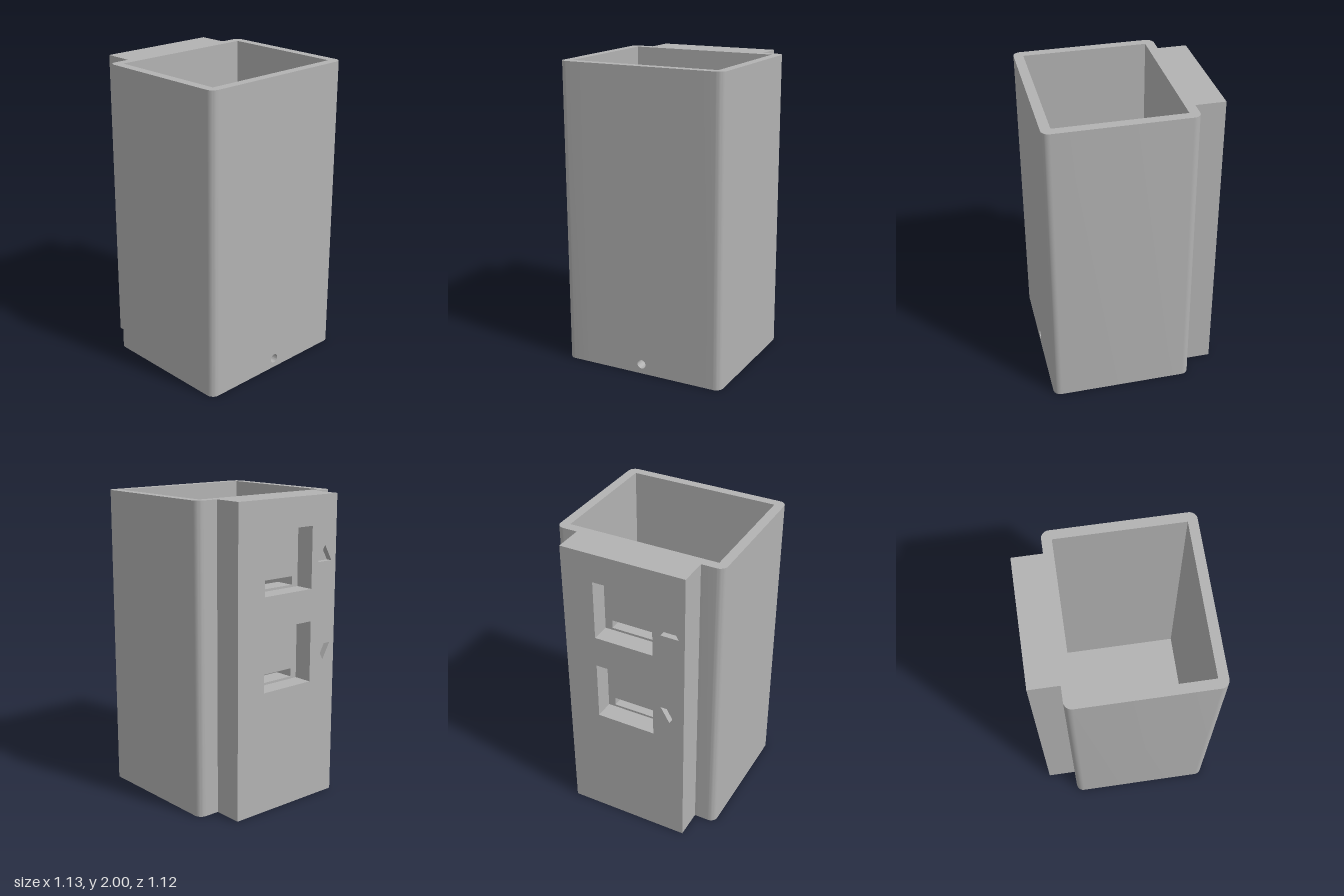
import * as THREE from 'three';
import { toCreasedNormals } from 'three/addons/utils/BufferGeometryUtils.js';

const V = (x, y) => new THREE.Vector2(x, y);

// Points along an arc
function arc(cx, cy, r, from, to, n = 10) {
  return Array.from({ length: n + 1 }, (_, i) => {
    const a = from + (to - from) * i / n;
    return V(cx + r * Math.cos(a), cy + r * Math.sin(a));
  });
}
const rect = (x0, x1, y0, y1) => [V(x0, y0), V(x1, y0), V(x1, y1), V(x0, y1)];
const circle = (cx, cy, r) => arc(cx, cy, r, 0, Math.PI * 2, 32).slice(0, -1);

function extrude(points, holes, depth) {
  const shape = new THREE.Shape(points);
  holes.forEach(h => shape.holes.push(new THREE.Path(h)));
  return new THREE.ExtrudeGeometry(shape, { depth, bevelEnabled: false });
}
// Plan outline (x, -z) raised from y = 0
const extrudeUp = (points, height) => extrude(points, [], height).rotateX(-Math.PI / 2);
// Side outline (-z, y) carried along x
const extrudeX = (points, holes, x0, x1) =>
  extrude(points, holes, x1 - x0).rotateY(Math.PI / 2).translate(x0, 0, 0);

export function createModel() {
  const group = new THREE.Group();
  const grey = new THREE.MeshStandardMaterial({ color: 0xb2b2b2 });
  grey.name = 'grey plastic';
  const add = (name, geometry) => {
    const mesh = new THREE.Mesh(toCreasedNormals(geometry, 0.5), grey);
    mesh.name = name;
    group.add(mesh);
  };

  const xIn0 = -0.3125, xIn1 = 0.503, xOut0 = -0.375, xOut1 = 0.565;
  const zIn = 0.5, zOut = 0.5625, corner = 0.05;
  const floorH = 0.125, holeX = -0.0625, holeR = 0.102, band = 0.05;
  const channelY = 0.065, channelR = 0.03;
  const PI = Math.PI;

  // Front and back walls with rounded corners, and the two floor halves
  for (const [side, m] of [['front', -1], ['back', 1]]) {
    const flip = pts => pts.map(p => V(p.x, p.y * m));
    add(side + 'Wall', extrudeUp(flip([
      V(xIn0, 0.415), V(xOut0, 0.415),
      ...arc(xOut0 + corner, zOut - corner, corner, PI, PI / 2),
      ...arc(xOut1 - corner, zOut - corner, corner, PI / 2, 0),
      V(xOut1, 0.4), V(xIn1, 0.4), V(xIn1, zIn), V(xIn0, zIn),
    ]), 2));
    const a = Math.asin(band / holeR);
    add(side + 'Floor', extrudeUp(flip([
      V(xIn1, band), V(xIn1, zIn), V(xIn0, zIn), V(xIn0, band),
      ...arc(holeX, 0, holeR, PI - a, a, 24),
    ]), floorH));
  }

  // Side wall pierced by the cable channel
  const channel = circle(0, channelY, channelR);
  add('sideWall', extrudeX(rect(-0.4, 0.4, 0, 2), [channel], xIn1, xOut1));

  // Middle floor strips: one end curved to follow the round floor hole
  const strip = [];
  for (let i = 0; i <= 8; i++) strip.push(V(-band + band * i / 4, 0));
  for (let i = 8; i >= 0; i--) strip.push(V(-band + band * i / 4, floorH));
  const channelEnd = -0.25;
  for (const [name, s, end] of [['channelFloor', 1, xIn1], ['channelEndFloor', -1, channelEnd]]) {
    const g = extrudeX(strip, [channel], 0, 1);
    const p = g.attributes.position;
    for (let i = 0; i < p.count; i++) {
      const atHole = (p.getX(i) < 0.5) === (s > 0);
      const z = p.getZ(i);
      p.setX(i, atHole ? holeX + s * Math.sqrt(holeR * holeR - z * z) : end);
    }
    add(name, g);
  }
  add('channelStop', extrudeX(rect(-band, band, 0, floorH), [], xIn0, channelEnd));

  // Button block in three layers: symbols, button pockets, wire slots
  const buttons = [1.61, 1.0];
  const blockFace = rect(-0.415, 0.415, 0, 2);
  const pockets = buttons.map(y => rect(-0.2, 0.2, y - 0.2, y + 0.2));
  const slots = buttons.map(y => rect(-0.15, 0.15, y - 0.185, y - 0.13));
  const arrows = buttons.map((y, i) => {
    const d = i ? -1 : 1;
    return [V(-0.315, y + 0.07 * d), V(-0.376, y - 0.035 * d), V(-0.254, y - 0.035 * d)];
  });
  add('buttonBlockFace', extrudeX(blockFace, [...pockets, ...arrows], -0.568, -0.528));
  add('buttonBlockMiddle', extrudeX(blockFace, pockets, -0.528, -0.441));
  add('buttonBlockBack', extrudeX(blockFace, slots, -0.441, xIn0));

  return group;
}
